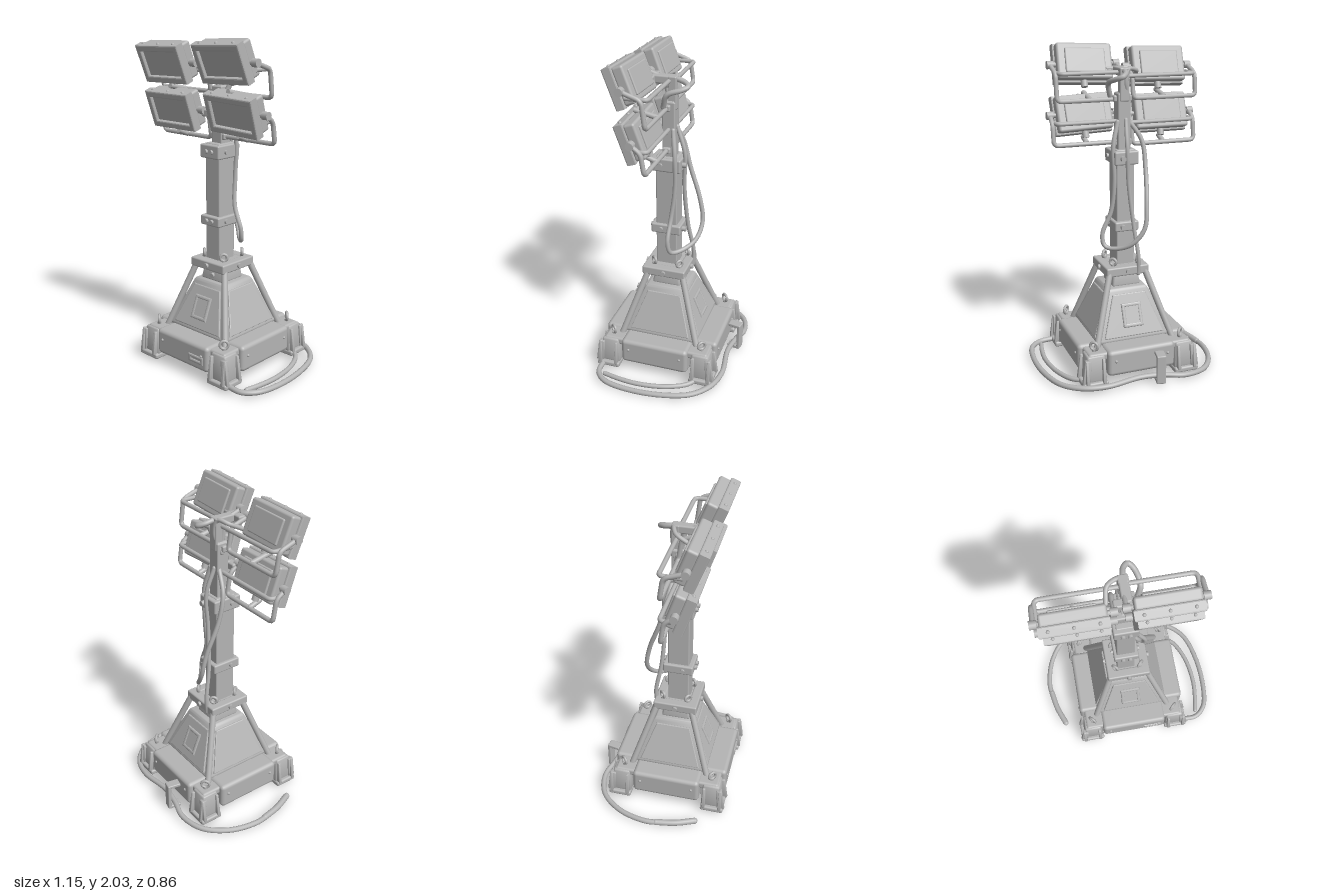
import * as THREE from 'three';
import { toCreasedNormals } from 'three/addons/utils/BufferGeometryUtils.js';
import { RoundedBoxGeometry } from 'three/addons/geometries/RoundedBoxGeometry.js';

const grey = new THREE.MeshStandardMaterial({ color: 0xb4b4b4 });
grey.name = 'plainGrey';
const V = (p) => new THREE.Vector3(...p);

function add(parent, name, geo, pos = [0, 0, 0], rot = [0, 0, 0]) {
  const m = new THREE.Mesh(geo, grey);
  m.name = name;
  m.position.set(...pos);
  m.rotation.set(...rot);
  parent.add(m);
  return m;
}

const box = (w, h, d, r = 0.01) => new RoundedBoxGeometry(w, h, d, 2, r);
const rod = (r, h, n = 16) => new THREE.CylinderGeometry(r, r, h, n);

// Rounded box whose top is scaled by k
function taperBox(w, h, d, k, r = 0.015) {
  const g = box(w, h, d, r);
  const p = g.attributes.position;
  for (let i = 0; i < p.count; i++) {
    const s = 1 + (k - 1) * (p.getY(i) / h + 0.5);
    p.setX(i, p.getX(i) * s);
    p.setZ(i, p.getZ(i) * s);
  }
  return toCreasedNormals(g, 0.6);
}

function strut(parent, name, a, b, r) {
  const A = V(a), B = V(b);
  const m = add(parent, name, rod(r, A.distanceTo(B)));
  m.position.copy(A).lerp(B, 0.5);
  m.quaternion.setFromUnitVectors(new THREE.Vector3(0, 1, 0), B.sub(A).normalize());
}

// Smooth hose with round ends
function cable(parent, name, pts, r) {
  const v = pts.map(V);
  add(parent, name, new THREE.TubeGeometry(new THREE.CatmullRomCurve3(v), pts.length * 8, r, 10));
  for (const e of [v[0], v[v.length - 1]])
    add(parent, name + 'End', new THREE.SphereGeometry(r, 10, 8), e.toArray());
}

// Straight pipe run with rounded corners
function pipe(parent, name, pts, r, bend = 0.045) {
  const v = pts.map(V), path = new THREE.CurvePath();
  let last = v[0];
  for (let i = 1; i < v.length - 1; i++) {
    const a = v[i].clone().add(v[i - 1].clone().sub(v[i]).setLength(bend));
    const b = v[i].clone().add(v[i + 1].clone().sub(v[i]).setLength(bend));
    path.add(new THREE.LineCurve3(last, a));
    path.add(new THREE.QuadraticBezierCurve3(a, v[i], b));
    last = b;
  }
  path.add(new THREE.LineCurve3(last, v[v.length - 1]));
  add(parent, name, new THREE.TubeGeometry(path, 70, r, 10));
}

function eyebolt(parent, pos, yaw, size = 0.024) {
  add(parent, 'eyeboltRing', new THREE.TorusGeometry(size, 0.009, 8, 18), pos, [0, yaw, 0]);
  add(parent, 'eyeboltStem', rod(0.013, 0.03), [pos[0], pos[1] - size - 0.01, pos[2]]);
}

// Rectangle with a rectangular hole
function frameGeo(w, h, iw, ih, depth) {
  const rect = (C, a, b) => new C([[-a, -b], [a, -b], [a, b], [-a, b]].map((p) => new THREE.Vector2(...p)));
  const s = rect(THREE.Shape, w / 2, h / 2);
  s.holes.push(rect(THREE.Path, iw / 2, ih / 2));
  return new THREE.ExtrudeGeometry(s, { depth, bevelEnabled: true, bevelSize: 0.008, bevelThickness: 0.008, bevelSegments: 2 });
}

function buildBase(root) {
  const base = new THREE.Group();
  base.name = 'base';
  base.position.z = 0.035;
  root.add(base);
  add(base, 'skirtLong', box(0.44, 0.165, 0.75, 0.025), [0, 0.153, 0]);
  add(base, 'skirtWide', box(0.73, 0.165, 0.44, 0.025), [0, 0.153, 0]);
  add(base, 'skirtCore', box(0.6, 0.14, 0.6, 0.02), [0, 0.145, 0]);
  add(base, 'pyramidHousing', taperBox(0.5, 0.31, 0.5, 0.5, 0.02), [0, 0.382, 0]);

  // Sloped cover panel on each side, hatch on front and back
  const cover = new THREE.Shape([[-0.19, 0.03], [0.19, 0.03], [0.105, 0.285], [-0.105, 0.285]].map((p) => new THREE.Vector2(...p)));
  for (let i = 0; i < 4; i++) {
    const side = new THREE.Group();
    side.name = 'housingSide';
    side.rotation.y = i * Math.PI / 2;
    base.add(side);
    const slope = new THREE.Group();
    slope.name = 'slopedCover';
    slope.position.set(0, 0.232, 0.247);
    slope.rotation.x = -Math.atan(0.125 / 0.31);
    side.add(slope);
    add(slope, 'coverPanel', new THREE.ExtrudeGeometry(cover, { depth: 0.004, bevelSize: 0.006, bevelThickness: 0.006, bevelSegments: 2 }));
    if (i % 2 === 0) {
      add(slope, 'hatchFrame', frameGeo(0.115, 0.135, 0.1, 0.12, 0.004), [0, 0.155, 0.008]);
      add(slope, 'hatch', box(0.098, 0.118, 0.012, 0.004), [0, 0.155, 0.01]);
    }
    for (const x of [-0.17, 0.17])
      add(side, 'skirtBolt', new THREE.SphereGeometry(0.01, 8, 6), [x, 0.17, i % 2 ? 0.364 : 0.374]);
  }
  add(base, 'slotFrame', frameGeo(0.105, 0.035, 0.092, 0.024, 0.004), [0.127, 0.14, 0.37]);

  // Corner feet, slanted braces and lifting eyes
  for (const sx of [-1, 1]) for (const sz of [-1, 1]) {
    const foot = new THREE.Group();
    foot.name = 'cornerFoot';
    foot.position.set(sx * 0.3, 0, sz * 0.31);
    base.add(foot);
    add(foot, 'footPad', box(0.16, 0.035, 0.15, 0.012), [0, 0.036, 0]);
    add(foot, 'footBlock', taperBox(0.135, 0.17, 0.13, 0.84), [-sx * 0.01, 0.13, -sz * 0.01]);
    add(foot, 'footCap', box(0.14, 0.05, 0.14, 0.016), [-sx * 0.035, 0.198, -sz * 0.035]);
    for (const k of [-1, 1]) {
      add(foot, 'footRib', taperBox(0.022, 0.155, 0.05, 0.75, 0.005), [k * 0.053, 0.12, sz * 0.052], [-sz * 0.1, 0, 0]);
      add(foot, 'footRib', taperBox(0.05, 0.155, 0.022, 0.75, 0.005), [sx * 0.052, 0.12, k * 0.053], [0, 0, sx * 0.1]);
    }
    eyebolt(base, [sx * 0.285, 0.256, sz * 0.295], -sx * sz * Math.PI / 4 + Math.PI / 2, 0.025);
    strut(base, 'brace', [sx * 0.255, 0.2, sz * 0.255], [sx * 0.115, 0.645, sz * 0.11], 0.02);
    eyebolt(base, [sx * 0.083, 0.7, sz * 0.083], -sx * sz * Math.PI / 4 + Math.PI / 2, 0.021);
  }

  // Collar around the mast foot
  add(base, 'neck', taperBox(0.19, 0.1, 0.19, 0.82), [-0.006, 0.58, 0.005]);
  add(base, 'collar', box(0.21, 0.05, 0.21, 0.01), [0, 0.645, 0.008]);
  for (const s of [-1, 1]) {
    add(base, 'collarClamp', box(0.28, 0.058, 0.06, 0.01), [0, 0.645, 0.008 + s * 0.11]);
    add(base, 'collarClamp', box(0.06, 0.058, 0.28, 0.01), [s * 0.11, 0.645, 0.008]);
    add(base, 'collarBolt', rod(0.016, 0.02), [0, 0.645, 0.008 + s * 0.145], [Math.PI / 2, 0, 0]);
    add(base, 'collarBolt', rod(0.016, 0.02), [s * 0.143, 0.645, 0.008], [0, 0, Math.PI / 2]);
  }
  add(base, 'neckBolt', rod(0.015, 0.02), [0, 0.57, 0.1], [Math.PI / 2, 0, 0]);
}

function buildMast(root) {
  const mast = new THREE.Group();
  mast.name = 'mast';
  mast.position.set(-0.012, 0, 0.05);
  root.add(mast);
  add(mast, 'lowerTube', box(0.116, 0.86, 0.135, 0.008), [0, 0.97, 0]);
  add(mast, 'upperTube', box(0.082, 0.4, 0.08, 0.008), [0, 1.54, -0.01]);
  add(mast, 'headTube', box(0.06, 0.2, 0.05, 0.008), [0, 1.79, -0.03]);
  add(mast, 'headBlock', box(0.075, 0.07, 0.07, 0.01), [0, 1.71, -0.01]);
  for (const [y, h] of [[0.92, 0.062], [1.352, 0.085]]) {
    add(mast, 'clamp', box(0.155, h, 0.19, 0.01), [0, y, 0]);
    for (const x of [-0.022, 0.022]) add(mast, 'clampBolt', rod(0.014, 0.02), [x, y, 0.1], [Math.PI / 2, 0, 0]);
    add(mast, 'clampKnob', rod(0.016, 0.03), [0.03, y, -0.105], [Math.PI / 2, 0, 0]);
    for (const s of [-1, 1]) add(mast, 'clampSideBolt', rod(0.014, 0.02), [s * 0.08, y, 0.03], [0, 0, Math.PI / 2]);
  }
  // Cross arms carrying the lamps
  for (const [y, z] of [[1.865, 0.1], [1.58, 0.06]]) {
    add(mast, 'crossArm', box(0.15, 0.045, 0.05, 0.01), [0, y, z]);
    add(mast, 'crossArmLink', box(0.055, 0.05, z + 0.05, 0.01), [0, y, z / 2 - 0.02]);
  }
  for (const y of [1.705, 1.44]) add(mast, 'bracketHolder', box(0.12, 0.04, 0.05, 0.01), [0, y, 0]);
}

// One floodlight: centre of its face, tilt, roll and its yoke
function buildLamp(root, [x, y, z], tilt, roll, railY) {
  const s = Math.sign(x);
  const lamp = new THREE.Group();
  lamp.name = 'floodlight';
  lamp.position.set(x, y, z);
  lamp.rotation.set(tilt, 0, roll);
  root.add(lamp);
  add(lamp, 'bezel', frameGeo(0.345, 0.225, 0.305, 0.175, 0.045), [0, 0, -0.053]);
  add(lamp, 'lens', box(0.335, 0.205, 0.03, 0.005), [0, 0, -0.037]);
  add(lamp, 'lampHousing', box(0.345, 0.22, 0.07, 0.015), [0, 0, -0.09]);
  add(lamp, 'rearCover', box(0.25, 0.15, 0.02, 0.008), [0, 0, -0.126]);
  for (const k of [-0.13, 0, 0.13])
    add(lamp, 'bezelBolt', new THREE.SphereGeometry(0.011, 8, 6), [k, 0.118, -0.03]);
  add(lamp, 'tiltKnob', rod(0.021, 0.05), [0, -0.125, -0.07]);

  // Yoke pipe, pivots and stand-off
  const c = Math.cos(tilt), pz = z - 0.08 * c, py = y + 0.02;
  const xo = 0.208, zr = 0.05;
  const at = (k, yy, zz) => [x + k * xo, yy, zz];
  pipe(root, 'yoke', [[x - 0.17, py, pz], at(-1, py, pz), at(-1, py - 0.04, zr + 0.02), at(-1, railY, zr),
    at(1, railY, zr), at(1, py - 0.04, zr + 0.02), at(1, py, pz), [x + 0.17, py, pz]], 0.014, 0.03);
  for (const k of [-1, 1]) add(root, 'pivotKnob', rod(0.024, 0.04), at(k, py, pz), [0, 0, Math.PI / 2]);
  strut(root, 'yokeStandOff', [x, railY, zr], [x, railY + 0.03, pz], 0.016);
  // Handle pipe behind the lamp
  pipe(root, 'rearRail', [[x + s * 0.19, y - 0.02, pz - 0.02], [x + s * 0.19, y - 0.02, zr - 0.01],
    [0, y - 0.02, zr - 0.01]], 0.013, 0.03);
}

function buildCables(root) {
  cable(root, 'groundCable', [[0.36, 0.035, 0.38], [0.46, 0.03, 0.375], [0.53, 0.03, 0.31], [0.56, 0.026, 0.17],
    [0.55, 0.026, -0.06], [0.49, 0.03, -0.25], [0.38, 0.035, -0.35], [0.24, 0.04, -0.385], [0.02, 0.05, -0.365],
    [-0.12, 0.05, -0.385], [-0.25, 0.04, -0.415], [-0.4, 0.03, -0.37], [-0.51, 0.022, -0.23], [-0.555, 0.02, -0.05],
    [-0.545, 0.02, 0.05]], 0.017);
  cable(root, 'groundCablePlug', [[-0.548, 0.02, 0.02], [-0.525, 0.02, 0.14], [-0.48, 0.022, 0.26]], 0.02);
  cable(root, 'shortCable', [[0.35, 0.035, -0.25], [0.41, 0.03, -0.2], [0.47, 0.028, -0.07], [0.495, 0.028, 0.1],
    [0.485, 0.028, 0.23], [0.465, 0.028, 0.33]], 0.015);
  cable(root, 'mastCableLoop', [[-0.04, 1.58, 0.02], [-0.12, 1.45, -0.01], [-0.13, 1.28, -0.05], [-0.11, 1.08, -0.12],
    [-0.09, 0.93, -0.145], [-0.02, 0.83, -0.12], [0.06, 0.785, -0.05], [0.12, 0.795, 0], [0.13, 0.87, 0.015],
    [0.075, 1.01, 0.01], [0.06, 1.2, -0.01], [0.065, 1.42, -0.01], [0.03, 1.57, 0.01]], 0.014);
  cable(root, 'mastCable', [[-0.02, 1.58, 0], [-0.01, 1.42, -0.05], [-0.02, 1.2, -0.045], [-0.05, 0.92, -0.062],
    [-0.07, 0.72, -0.095], [-0.07, 0.62, -0.09]], 0.013);
  cable(root, 'headCable', [[-0.01, 1.83, 0.06], [-0.01, 1.87, 0.01], [0, 1.86, -0.05], [0.03, 1.845, -0.08],
    [0.06, 1.83, -0.05], [0.08, 1.8, 0.03], [0.06, 1.72, 0.06]], 0.016);
  cable(root, 'headCableSide', [[-0.12, 1.83, 0.12], [-0.1, 1.87, 0.04], [-0.04, 1.88, 0.01], [-0.02, 1.8, 0],
    [-0.05, 1.68, 0.03]], 0.013);

  // Cable hook standing behind the base
  const hook = new THREE.Group();
  hook.name = 'cableHook';
  hook.position.set(-0.1, 0, -0.385);
  hook.rotation.y = -0.2;
  root.add(hook);
  add(hook, 'hookPlate', box(0.058, 0.185, 0.022, 0.006), [0, 0.105, -0.033]);
  add(hook, 'hookTop', box(0.058, 0.022, 0.085, 0.006), [0, 0.187, 0]);
  add(hook, 'hookFoot', box(0.058, 0.022, 0.085, 0.006), [0, 0.022, 0]);
}

export function createModel() {
  const root = new THREE.Group();
  root.name = 'floodlightTower';
  buildBase(root);
  buildMast(root);
  buildLamp(root, [-0.295, 1.857, 0.265], 0.36, 0.025, 1.7);
  buildLamp(root, [0.185, 1.882, 0.265], 0.38, 0.04, 1.7);
  buildLamp(root, [-0.29, 1.575, 0.205], 0.33, 0, 1.42);
  buildLamp(root, [0.21, 1.59, 0.205], 0.33, -0.04, 1.44);
  buildCables(root);
  return root;
}
